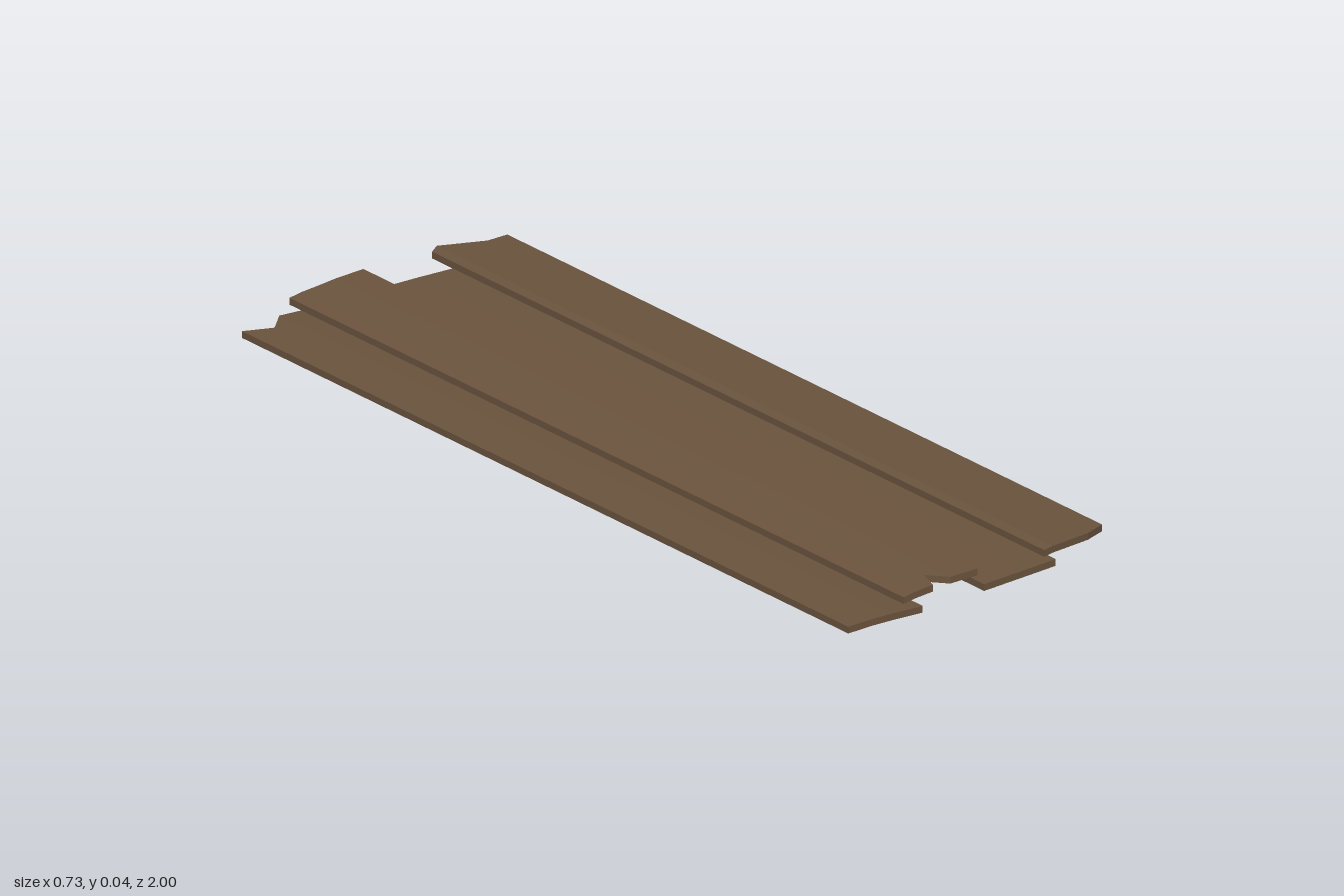
import * as THREE from 'three';

// Plank from stations across its width: [x, back z, front z, top y]
function plankGeometry(stations, thickness) {
  const pos = [];
  const quad = (a, b, c, d) => pos.push(...a, ...b, ...c, ...a, ...c, ...d);
  const rings = stations.map(([x, back, front, top]) => ({
    tb: [x, top, back], tf: [x, top, front],
    bb: [x, top - thickness, back], bf: [x, top - thickness, front],
  }));
  for (let i = 0; i < rings.length - 1; i++) {
    const l = rings[i], r = rings[i + 1];
    quad(l.tf, r.tf, r.tb, l.tb); // top
    quad(l.bb, r.bb, r.bf, l.bf); // underside
    quad(l.bf, r.bf, r.tf, l.tf); // front end
    quad(r.bb, l.bb, l.tb, r.tb); // back end
  }
  const l = rings[0], r = rings[rings.length - 1];
  quad(l.bb, l.bf, l.tf, l.tb); // right edge
  quad(r.bf, r.bb, r.tb, r.tf); // left edge
  const geometry = new THREE.BufferGeometry();
  geometry.setAttribute('position', new THREE.Float32BufferAttribute(pos, 3));
  geometry.computeVertexNormals();
  return geometry;
}

export function createModel() {
  const group = new THREE.Group();
  group.name = 'woodenPlanks';
  const wood = new THREE.MeshStandardMaterial({ color: 0x6b543e });
  wood.name = 'brown wood';

  const planks = {
    // chipped at the back
    outerRightPlank: [
      [-0.365, -0.95, 0.985, 0.024], [-0.302, -0.922, 0.985, 0.0235],
      [-0.252, -0.967, 0.985, 0.021], [-0.168, -0.965, 0.985, 0.015],
    ],
    // raised, with a split in the front end
    innerRightPlank: [
      [-0.198, -1, 0.96, 0.034], [-0.165, -1, 0.96, 0.038],
      [-0.12, -1, 0.96, 0.04], [-0.104, -1, 0.912, 0.041],
      [-0.072, -1, 0.957, 0.043], [-0.002, -1, 0.96, 0.043],
    ],
    innerLeftPlank: [
      [-0.018, -0.935, 1, 0.026], [0.08, -0.927, 0.997, 0.0255], [0.178, -0.918, 0.992, 0.024],
    ],
    // tilted, worn at both ends
    outerLeftPlank: [
      [0.167, -0.985, 0.969, 0.039], [0.192, -1, 0.965, 0.04],
      [0.302, -0.97, 0.945, 0.031], [0.362, -0.98, 0.918, 0.024],
    ],
  };
  for (const [name, stations] of Object.entries(planks)) {
    const mesh = new THREE.Mesh(plankGeometry(stations, 0.015), wood);
    mesh.name = name;
    group.add(mesh);
  }
  return group;
}
